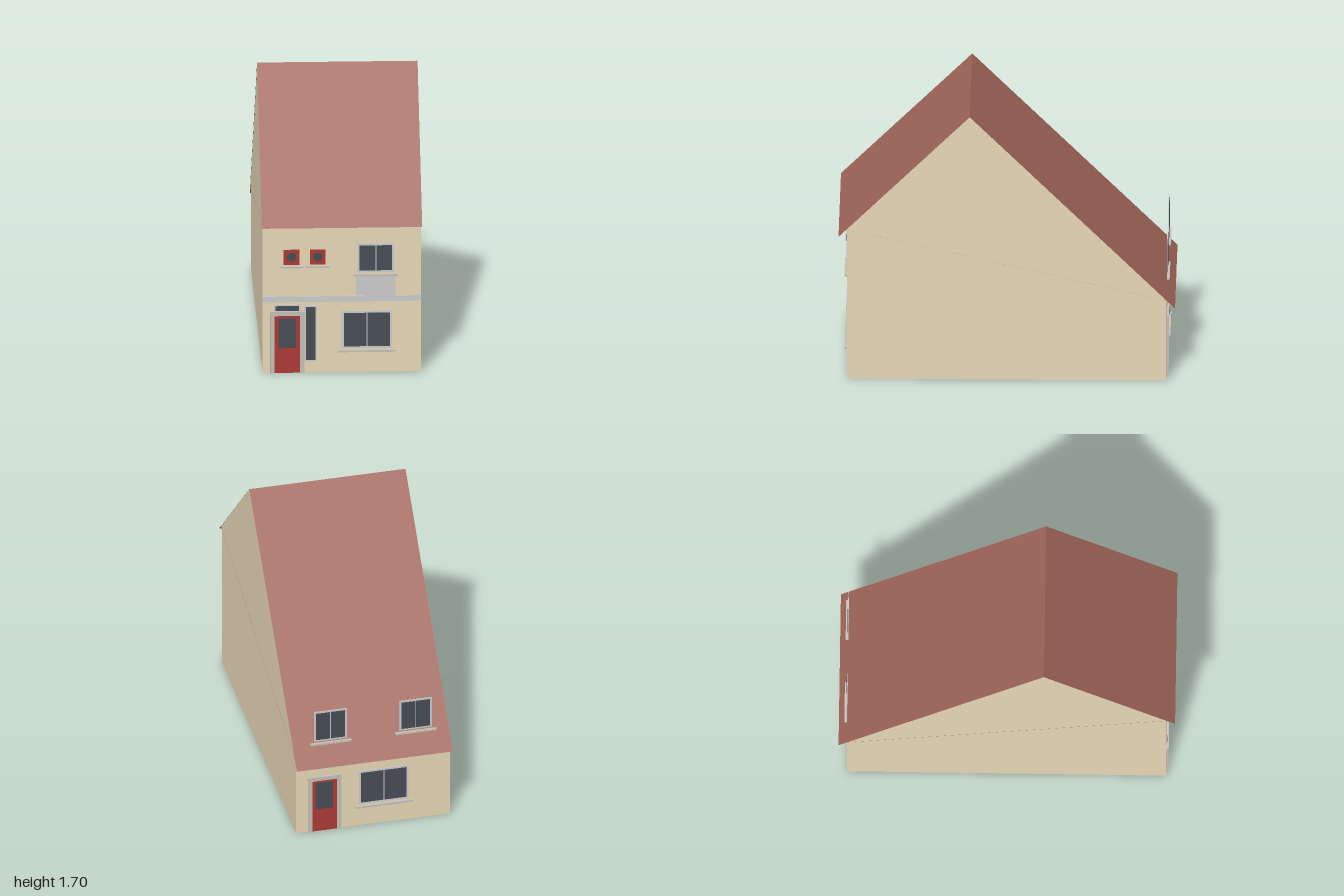
import * as THREE from 'three';

const mat = (color, side = THREE.FrontSide) =>
  new THREE.MeshStandardMaterial({ color, side });
const wallMat = mat(0xe8d8b7, THREE.DoubleSide);
const roofMat = mat(0xa0655a, THREE.DoubleSide);
const greyMat = mat(0xcccccc);
const stoneMat = mat(0xc4c2b6);
const redMat = mat(0xac3a35);
const glassMat = mat(0x474c54);

const W = 0.47, RW = 0.477, Z = 0.95; // wall half width, roof half width, wall half depth
const FRONT_TOP = 0.97, BACK_TOP = 0.52;
const RIDGE = [1.7, 0.22]; // y, z

// Flat polygon from corners in counter-clockwise order
function face(parent, name, material, pts) {
  const g = new THREE.BufferGeometry();
  g.setAttribute('position', new THREE.Float32BufferAttribute(pts.flat(), 3));
  g.setIndex(pts.length === 4 ? [0, 1, 2, 0, 2, 3] : [0, 1, 2]);
  g.computeVertexNormals();
  const m = new THREE.Mesh(g, material);
  m.name = name;
  parent.add(m);
}

// Thin box on a facade, between depths z0 and z1 in front of the wall
function panel(parent, name, material, x0, x1, y0, y1, z1, z0 = 0) {
  const m = new THREE.Mesh(new THREE.BoxGeometry(x1 - x0, y1 - y0, z1 - z0), material);
  m.position.set((x0 + x1) / 2, (y0 + y1) / 2, (z0 + z1) / 2);
  m.name = name;
  parent.add(m);
}

// Two-pane window with a projecting sill
function windowUnit(parent, name, x0, x1, y0, y1) {
  const g = new THREE.Group();
  g.name = name;
  const b = 0.012, mid = (x0 + x1) / 2;
  panel(g, 'windowFrame', greyMat, x0, x1, y0, y1, 0.004);
  panel(g, 'leftPane', glassMat, x0 + b, mid - 0.003, y0 + b, y1 - b, 0.006, 0.002);
  panel(g, 'rightPane', glassMat, mid + 0.003, x1 - b, y0 + b, y1 - b, 0.006, 0.002);
  panel(g, 'windowSill', stoneMat, x0 - 0.025, x1 + 0.025, y0 - 0.021, y0 - 0.01, 0.017);
  parent.add(g);
}

// Door with glass, side posts and lintel, centred on x
function doorUnit(parent, name, x) {
  const g = new THREE.Group();
  g.name = name;
  panel(g, 'doorLeaf', redMat, x - 0.076, x + 0.076, 0, 0.358, 0.004);
  panel(g, 'doorGlass', glassMat, x - 0.052, x + 0.052, 0.155, 0.34, 0.006, 0.002);
  for (const s of [-1, 1]) {
    const c = x + s * 0.088;
    panel(g, 'doorPost', stoneMat, c - 0.013, c + 0.013, 0, 0.36, 0.009);
  }
  panel(g, 'doorLintel', stoneMat, x - 0.103, x + 0.103, 0.358, 0.384, 0.012);
  parent.add(g);
}

export function createModel() {
  const house = new THREE.Group();
  house.name = 'house';

  // Walls and inner ceiling
  const walls = new THREE.Group();
  walls.name = 'walls';
  house.add(walls);
  face(walls, 'frontWall', wallMat, [[-W, 0, Z], [W, 0, Z], [W, FRONT_TOP, Z], [-W, FRONT_TOP, Z]]);
  face(walls, 'backWall', wallMat, [[W, 0, -Z], [-W, 0, -Z], [-W, BACK_TOP, -Z], [W, BACK_TOP, -Z]]);
  face(walls, 'rightWall', wallMat, [[-W, 0, -Z], [-W, 0, Z], [-W, FRONT_TOP, Z], [-W, BACK_TOP, -Z]]);
  face(walls, 'leftWall', wallMat, [[W, 0, Z], [W, 0, -Z], [W, BACK_TOP, -Z], [W, FRONT_TOP, Z]]);
  face(walls, 'ceiling', wallMat, [[-W, 0.52, -Z], [W, 0.52, -Z], [W, 0.52, Z], [-W, 0.52, Z]]);

  // Roof slopes with overhanging eaves, gables and underside
  const roof = new THREE.Group();
  roof.name = 'roof';
  house.add(roof);
  const [ry, rz] = RIDGE;
  face(roof, 'frontSlope', roofMat, [[-RW, 0.92, 1], [RW, 0.92, 1], [RW, ry, rz], [-RW, ry, rz]]);
  face(roof, 'backSlope', roofMat, [[RW, 0.47, -1], [-RW, 0.47, -1], [-RW, ry, rz], [RW, ry, rz]]);
  face(roof, 'roofUnderside', roofMat,
    [[-RW, BACK_TOP, -Z], [RW, BACK_TOP, -Z], [RW, FRONT_TOP, Z], [-RW, FRONT_TOP, Z]]);
  const gx = RW - 0.001;
  face(roof, 'leftGable', wallMat, [[gx, FRONT_TOP, Z], [gx, BACK_TOP, -Z], [gx, ry, rz]]);
  face(roof, 'rightGable', wallMat, [[-gx, BACK_TOP, -Z], [-gx, FRONT_TOP, Z], [-gx, ry, rz]]);

  // Front facade
  const front = new THREE.Group();
  front.name = 'frontFacade';
  front.position.z = Z;
  house.add(front);
  panel(front, 'floorBand', greyMat, -W, W, 0.443, 0.478, 0.005);
  panel(front, 'apronPanel', greyMat, 0.085, 0.32, 0.478, 0.605, 0.003);
  windowUnit(front, 'upperWindow', 0.095, 0.31, 0.625, 0.805);
  windowUnit(front, 'lowerWindow', 0.0, 0.3, 0.15, 0.383);
  doorUnit(front, 'frontDoor', -0.324);
  panel(front, 'transomFrame', greyMat, -0.402, -0.246, 0.384, 0.426, 0.004);
  panel(front, 'transomGlass', glassMat, -0.394, -0.254, 0.388, 0.418, 0.006, 0.002);
  panel(front, 'sideLightFrame', greyMat, -0.223, -0.148, 0.07, 0.418, 0.004);
  panel(front, 'sideLightGlass', glassMat, -0.213, -0.157, 0.079, 0.41, 0.006, 0.002);

  // Small red windows with round glass
  for (const x of [-0.298, -0.143]) {
    panel(front, 'roundWindowPanel', redMat, x - 0.047, x + 0.047, 0.676, 0.77, 0.004);
    const disc = new THREE.Mesh(new THREE.CylinderGeometry(0.028, 0.028, 0.004, 24), glassMat);
    disc.rotation.x = Math.PI / 2;
    disc.position.set(x, 0.725, 0.004);
    disc.name = 'roundGlass';
    front.add(disc);
    panel(front, 'roundWindowSill', stoneMat, x - 0.072, x + 0.072, 0.659, 0.668, 0.017);
  }

  // Back facade, turned to face -z (its local x runs opposite)
  const back = new THREE.Group();
  back.name = 'backFacade';
  back.rotation.y = Math.PI;
  back.position.z = -Z;
  house.add(back);
  doorUnit(back, 'backDoor', -0.297);
  windowUnit(back, 'backLowerWindow', -0.085, 0.215, 0.15, 0.383);
  for (const x of [-0.26, 0.26]) windowUnit(back, 'backUpperWindow', x - 0.1, x + 0.1, 0.635, 0.845);

  return house;
}
